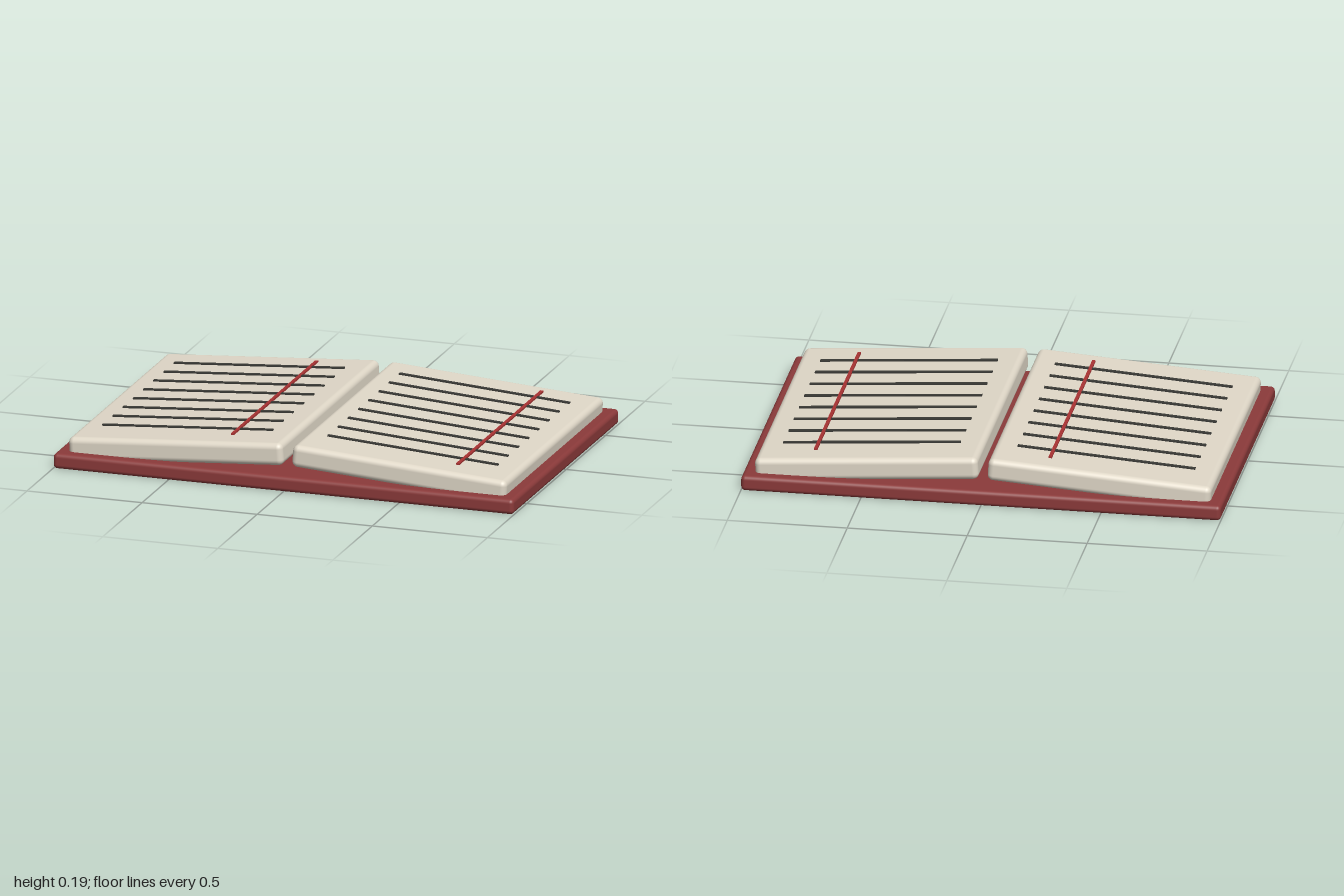
import * as THREE from 'three';
import { RoundedBoxGeometry } from 'three/addons/geometries/RoundedBoxGeometry.js';

const material = (name, color) => {
  const m = new THREE.MeshStandardMaterial({ color });
  m.name = name;
  return m;
};

function addMesh(parent, name, geometry, mat, x, y, z) {
  const mesh = new THREE.Mesh(geometry, mat);
  mesh.name = name;
  mesh.position.set(x, y, z);
  parent.add(mesh);
  return mesh;
}

export function createModel() {
  const coverRed = material('cover red', 0x8b3a3a);
  const paper = material('paper', 0xe0d8c8);
  const ink = material('ink', 0x3a3a36);
  const marginRed = material('margin red', 0xa83232);

  const book = new THREE.Group();
  book.name = 'openBook';

  // Cover board lying flat
  addMesh(book, 'cover', new RoundedBoxGeometry(2, 0.065, 1.35, 4, 0.018), coverRed, 0, 0.0325, 0);

  const pageGeometry = new RoundedBoxGeometry(0.932, 0.095, 1.255, 4, 0.025);
  const lineGeometry = new THREE.BoxGeometry(0.742, 0.006, 0.015);
  const marginGeometry = new THREE.BoxGeometry(0.014, 0.007, 1.07);

  // Two page blocks, each rising towards the spine
  for (const side of [-1, 1]) {
    const half = new THREE.Group();
    half.name = side < 0 ? 'rightPage' : 'leftPage';
    half.position.set(side * 0.485, 0.109, 0);
    half.rotation.z = -side * 0.07;
    book.add(half);

    addMesh(half, 'pageBlock', pageGeometry, paper, 0, 0, 0);

    // Ruled lines, hovering just above the paper
    for (let i = 0; i < 8; i++) {
      addMesh(half, 'ruledLine', lineGeometry, ink, 0, 0.056, -0.456 + i * 0.1295);
    }

    // Margin stripe on the same side of both pages
    addMesh(half, 'marginLine', marginGeometry, marginRed, 0.222, 0.0565, -0.003);
  }

  return book;
}
